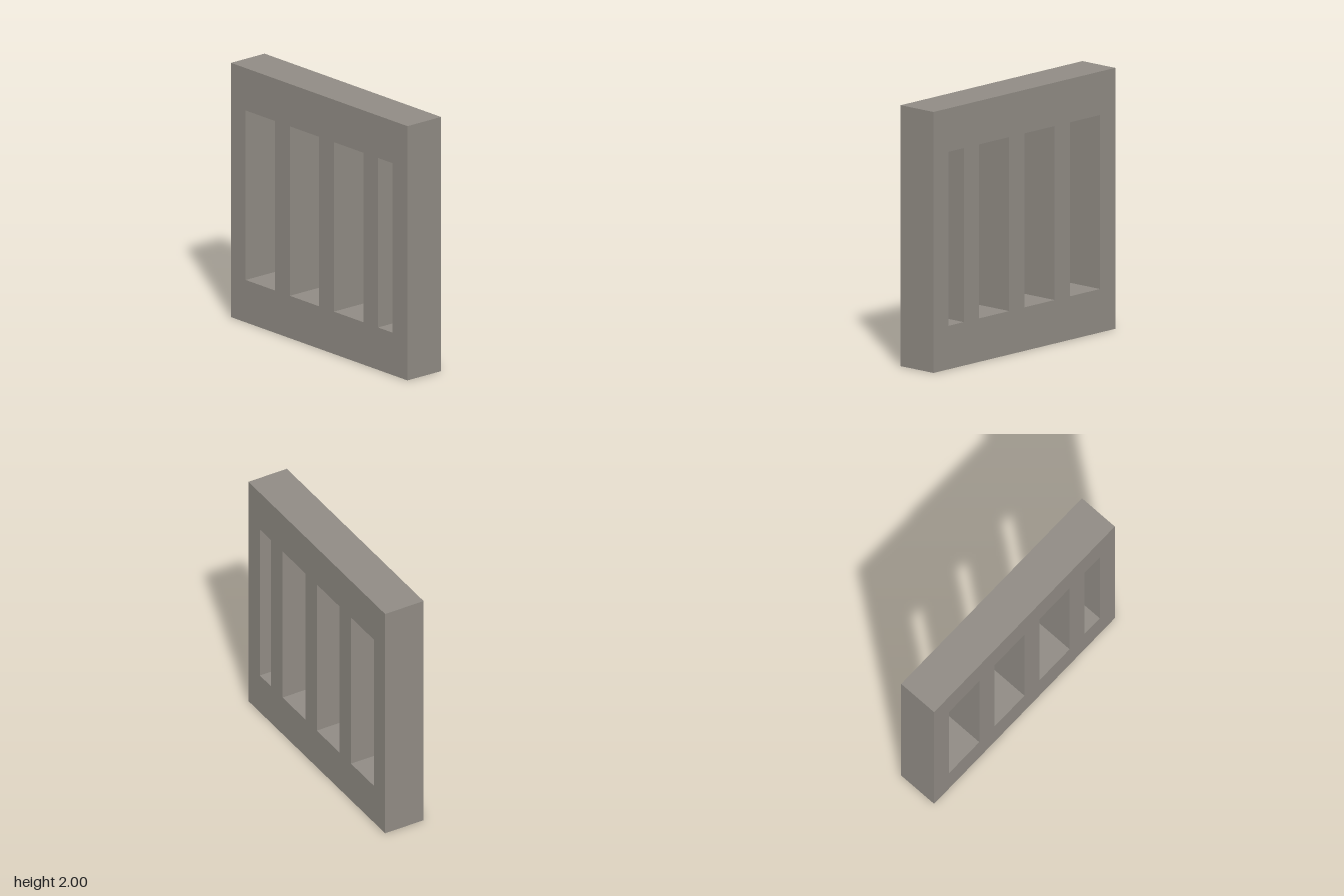
import * as THREE from 'three';

const U = 1 / 6; // module: the panel is 12 x 12 x 2 units

// Closed rectangle outline, for the panel and its slots
function rect(path, x0, y0, x1, y1) {
  path.moveTo(x0 * U, y0 * U);
  path.lineTo(x1 * U, y0 * U);
  path.lineTo(x1 * U, y1 * U);
  path.lineTo(x0 * U, y1 * U);
  path.closePath();
  return path;
}

export function createModel() {
  const group = new THREE.Group();
  group.name = 'slottedPanel';

  // Square panel outline
  const outline = rect(new THREE.Shape(), -6, 0, 6, 12);

  // Three wide slots and one narrow slot, separated by one-unit bars
  for (const [left, right] of [[-5, -3], [-2, 0], [1, 3], [4, 5]]) {
    outline.holes.push(rect(new THREE.Path(), left, 2, right, 10));
  }

  const geometry = new THREE.ExtrudeGeometry(outline, { depth: 2 * U, bevelEnabled: false });
  geometry.translate(0, 0, -U);

  // Warm stone grey
  const material = new THREE.MeshStandardMaterial({ color: 0x908b84, flatShading: true });
  const grate = new THREE.Mesh(geometry, material);
  grate.name = 'barredFrame';
  group.add(grate);
  return group;
}
